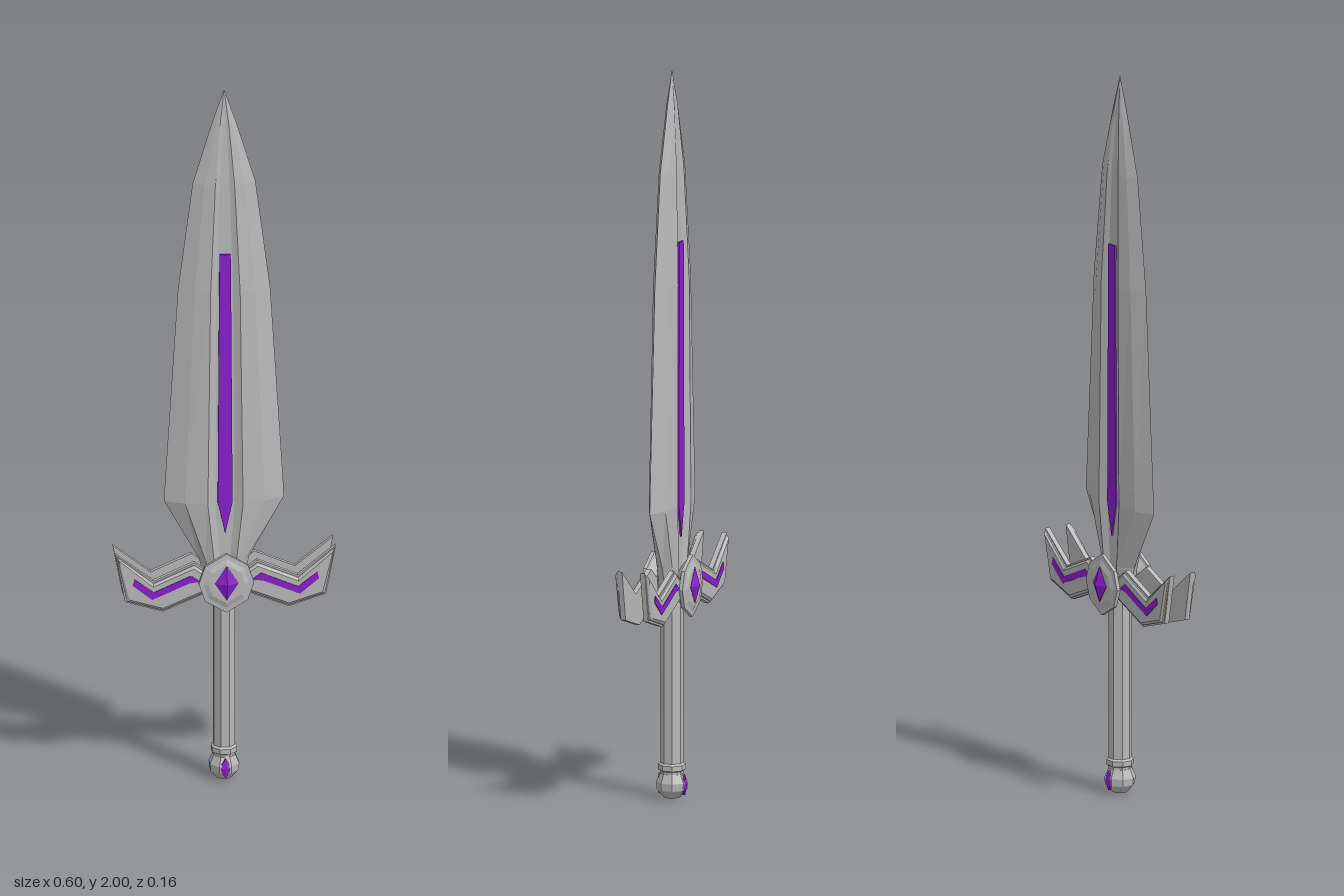
import * as THREE from 'three';

const steel = new THREE.MeshStandardMaterial({ color: 0xb8b8b8, flatShading: true });
steel.name = 'steel grey';
const purple = new THREE.MeshStandardMaterial({ color: 0x8a1fcc, flatShading: true });
purple.name = 'purple';

function add(parent, name, geometry, material) {
  const mesh = new THREE.Mesh(geometry, material);
  mesh.name = name;
  parent.add(mesh);
  return mesh;
}

// Joins equal-length rings of [x, y, z] into a closed, faceted solid
function loft(rings) {
  const pos = [];
  const n = rings[0].length;
  const tri = (...pts) => pts.forEach((p) => pos.push(...p));
  const centre = (r) => [0, 1, 2].map((k) => r.reduce((s, p) => s + p[k], 0) / n);
  const first = rings[0], last = rings[rings.length - 1];
  const c0 = centre(first), c1 = centre(last);
  for (let i = 0; i < n; i++) {
    const j = (i + 1) % n;
    for (let k = 0; k < rings.length - 1; k++) {
      const a = rings[k], b = rings[k + 1];
      tri(a[i], b[i], a[j]);
      tri(a[j], b[i], b[j]);
    }
    tri(c0, first[i], first[j]);
    tri(c1, last[j], last[i]);
  }
  const g = new THREE.BufferGeometry();
  g.setAttribute('position', new THREE.Float32BufferAttribute(pos, 3));
  g.computeVertexNormals();
  return g;
}

// Outline in x, y extruded along z from z0
function plate(points, z0, depth, bevel = {}) {
  const shape = new THREE.Shape(points.map(([x, y]) => new THREE.Vector2(x, y)));
  const g = new THREE.ExtrudeGeometry(shape, { depth, bevelEnabled: false, bevelSegments: 1, ...bevel });
  return g.translate(0, 0, z0);
}

// Blade section: sharp edges, bevels, twin ridges and a shallow central groove
function bladeRing([y, w, bx, bz, rx, rz, fx, fz]) {
  const q = [[bx, bz], [rx, rz], [fx, fz]];
  const right = q.map(([x, z]) => [x, y, z]);
  const left = q.map(([x, z]) => [-x, y, z]).reverse();
  const front = [...right, ...left];
  const back = front.map(([x, yy, z]) => [-x, yy, -z]);
  return [[w, y, 0], ...front, [-w, y, 0], ...back];
}

// Scaled copies of an outline stacked along z about height cy
function stack(outline, cy, layers) {
  return loft(layers.map(([z, s]) => outline.map(([x, y]) => [x * s, cy + y * s, z])));
}

// Everything that appears on both the front and the back
function makeFace(name) {
  const face = new THREE.Group();
  face.name = name;

  // Inlay in the blade groove
  add(face, 'bladeInlay', plate([[0, 0.72], [0.02, 0.81], [0.017, 1.3], [0.015, 1.53],
    [-0.015, 1.53], [-0.017, 1.3], [-0.02, 0.81]], 0.022, 0.006), purple);

  // Wings of the guard
  const wing = [[0.04, 0.61], [0.085, 0.643], [0.195, 0.595], [0.298, 0.676],
    [0.272, 0.538], [0.17, 0.506], [0.04, 0.56]];
  const stripe = [[0.07, 0.592], [0.095, 0.61], [0.195, 0.566], [0.247, 0.606],
    [0.252, 0.588], [0.2, 0.545], [0.1, 0.588]];
  for (const side of [1, -1]) {
    const m = (pts) => pts.map(([x, y]) => [x * side, y]);
    const s = side > 0 ? 'left' : 'right';
    add(face, s + 'WingBase', plate(m(wing), 0.026, 0.014), steel);
    add(face, s + 'WingPanel', plate(m(wing), 0.04, 0.004, {
      bevelEnabled: true, bevelThickness: 0.005, bevelSize: 0.007, bevelOffset: -0.012,
    }), steel);
    add(face, s + 'WingStripe', plate(m(stripe), 0.047, 0.004), purple);
  }

  // Medallion with its pointed gem
  const oct = [[0, 0.085], [0.058, 0.05], [0.075, 0], [0.058, -0.05],
    [0, -0.085], [-0.058, -0.05], [-0.075, 0], [-0.058, 0.05]];
  add(face, 'medallion', stack(oct, 0.588,
    [[0.028, 0.62], [0.048, 0.9], [0.05, 1], [0.06, 1], [0.061, 0.83], [0.066, 0.65]]), steel);
  const diamond = [[0, 0.05], [0.032, 0], [0, -0.05], [-0.032, 0]];
  add(face, 'guardGem', stack(diamond, 0.59, [[0.06, 1], [0.067, 1], [0.081, 0]]), purple);

  // Pommel gem
  const small = [[0, 0.028], [0.018, 0], [0, -0.028], [-0.018, 0]];
  add(face, 'pommelGem', stack(small, 0.04, [[0.03, 1], [0.038, 1], [0.043, 0]]), purple);
  return face;
}

export function createModel() {
  const model = new THREE.Group();
  model.name = 'sword';

  // y, edge, bevel x/z, ridge x/z, groove floor x/z
  const sections = [
    [0.568, 0.05, 0.04, 0.018, 0.025, 0.028, 0.01, 0.02],
    [0.64, 0.068, 0.052, 0.022, 0.03, 0.032, 0.014, 0.022],
    [0.81, 0.162, 0.108, 0.024, 0.048, 0.036, 0.026, 0.024],
    [0.86, 0.16, 0.106, 0.024, 0.047, 0.036, 0.026, 0.024],
    [1.42, 0.125, 0.082, 0.022, 0.04, 0.034, 0.022, 0.024],
    [1.73, 0.085, 0.055, 0.016, 0.026, 0.024, 0.013, 0.018],
    [1.9, 0.034, 0.022, 0.008, 0.012, 0.012, 0.005, 0.01],
    [2.0, 0, 0, 0, 0, 0, 0, 0],
  ];
  add(model, 'blade', loft(sections.map(bladeRing)), steel);

  // Octagonal grip, collar and pommel
  const turned = (name, pts) => {
    const g = new THREE.LatheGeometry(pts.map(([r, y]) => new THREE.Vector2(r, y)), 8);
    add(model, name, g.rotateY(Math.PI / 8), steel);
  };
  turned('grip', [[0, 0.07], [0.031, 0.07], [0.031, 0.55], [0, 0.55]]);
  turned('collar', [[0.03, 0.076], [0.037, 0.08], [0.037, 0.094], [0.03, 0.1]]);
  turned('pommel', [[0, 0], [0.022, 0.004], [0.041, 0.026], [0.043, 0.046], [0.032, 0.07], [0, 0.074]]);

  const front = makeFace('frontFace');
  const back = makeFace('backFace');
  back.rotation.y = Math.PI;
  model.add(front, back);
  return model;
}
